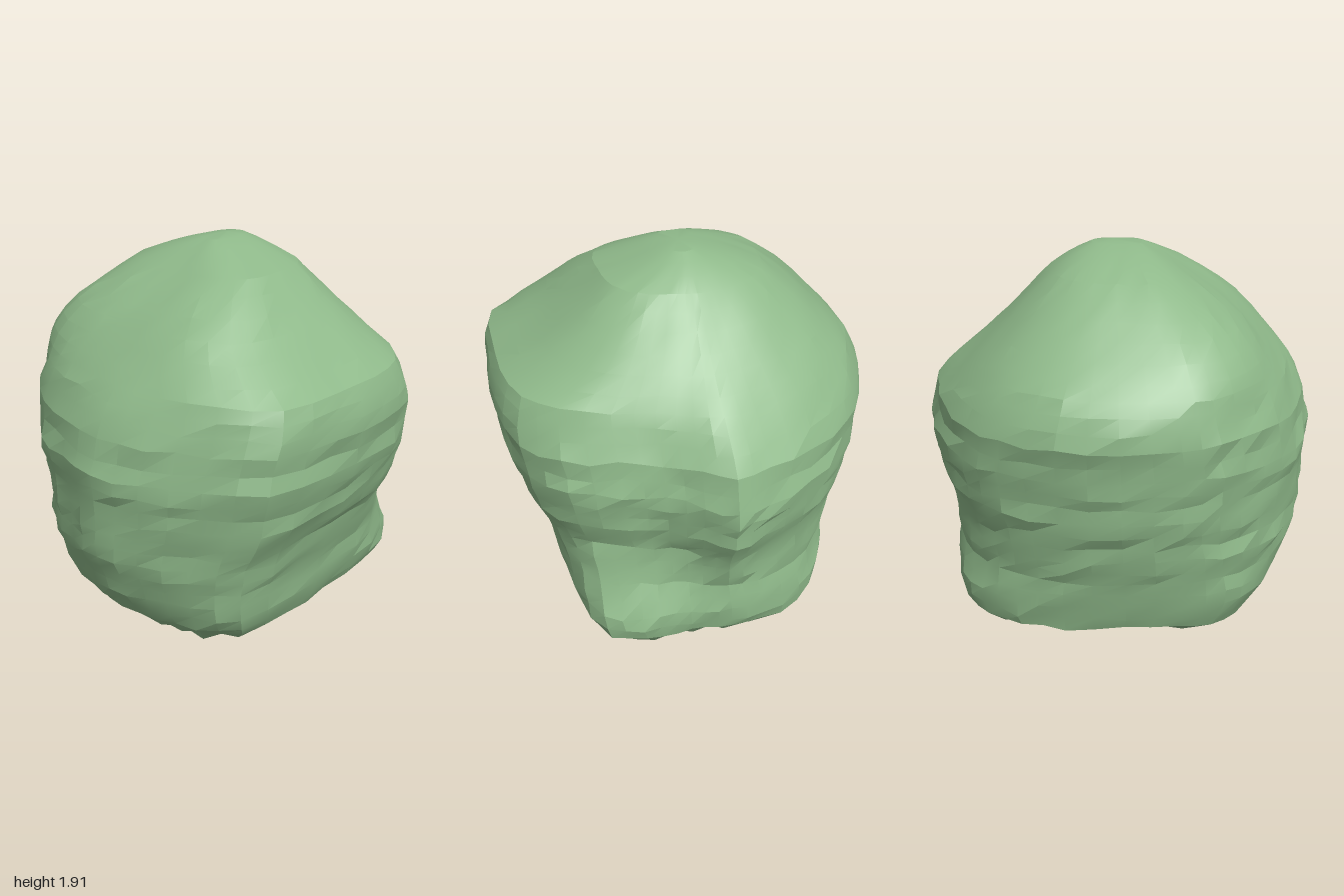
import * as THREE from 'three';
import { toCreasedNormals } from 'three/addons/utils/BufferGeometryUtils.js';

// Plan outlines as [x, z], starting at +x and turning towards the front
const BASE = [[.84, -.05], [.82, .08], [.81, .22], [.8, .38], [.74, .55], [.47, .63], [.1, .65], [-.2, .65],
  [-.5, .62], [-.64, .47], [-.7, .28], [-.74, .1], [-.74, -.1], [-.72, -.28], [-.65, -.47], [-.53, -.6],
  [-.35, -.66], [-.1, -.69], [.2, -.7], [.43, -.67], [.62, -.58], [.76, -.45], [.83, -.22]];
const WAIST = [[1, 0], [.9, .13], [.79, .28], [.72, .47], [.61, .7], [.42, .86], [.1, .93], [-.25, .93],
  [-.61, .89], [-.79, .66], [-.93, .4], [-1, .15], [-.97, -.1], [-.9, -.38], [-.74, -.62], [-.55, -.8],
  [-.38, -.88], [-.1, -.94], [.2, -.92], [.48, -.82], [.68, -.66], [.85, -.42], [.95, -.17]];

// Extents by height: y, left, right, back, front
const PROFILE = [
  [.04, .64, .74, .6, .57], [.12, .74, .82, .69, .65], [.2, .82, .86, .72, .7], [.4, .92, .86, .76, .73],
  [.6, .98, .9, .82, .78], [.8, .98, .97, .87, .87], [1, 1, 1, .9, .92], [1.2, .95, .94, .94, .94],
  [1.32, .89, .84, .91, .94], [1.4, .82, .75, .86, .9], [1.5, .72, .63, .77, .73], [1.6, .62, .53, .66, .6],
  [1.7, .5, .43, .55, .49], [1.8, .33, .33, .41, .38], [1.87, .22, .23, .25, .2], [1.915, .12, .13, .09, .08]];

const SIDES = 46;
const lerp = THREE.MathUtils.lerp, smooth = THREE.MathUtils.smoothstep;

// Small seeded random in -1..1
function seeded(seed) {
  return () => {
    seed = (seed * 16807) % 2147483647;
    return seed / 1073741823.5 - 1;
  };
}

function loop(points) {
  const curve = new THREE.CatmullRomCurve3(points.map(([x, z]) => new THREE.Vector3(x, 0, z)), true);
  return Array.from({ length: SIDES }, (_, i) => curve.getPoint(i / SIDES));
}

// Straight-line reading of the extents at height y
function extentsAt(y) {
  let k = 0;
  while (k < PROFILE.length - 2 && PROFILE[k + 1][0] < y) k++;
  const a = PROFILE[k], b = PROFILE[k + 1];
  const t = (y - a[0]) / (b[0] - a[0]);
  return a.map((v, i) => lerp(v, b[i], t));
}

function ring(y, base, waist) {
  const [, left, right, back, front] = extentsAt(y);
  const t = smooth(y, 0.1, 0.75), dome = smooth(y, 1.25, 1.6) * 0.8;
  const pts = base.map((b, i) => {
    const p = b.clone().lerp(waist[i], t);
    // The dome is round on the right and squarer on the left
    const a = Math.atan2(p.z, p.x);
    const r = 1 + (p.x < 0 ? .2 : .04) * Math.sin(2 * a) ** 2;
    return p.lerp(new THREE.Vector3(Math.cos(a) * r, 0, Math.sin(a) * r), dome);
  });
  const maxX = Math.max(...pts.map(p => p.x)), minX = Math.min(...pts.map(p => p.x));
  const maxZ = Math.max(...pts.map(p => p.z)), minZ = Math.min(...pts.map(p => p.z));
  return pts.map(p => new THREE.Vector3(
    p.x > 0 ? p.x * right / maxX : p.x * left / -minX, y,
    p.z > 0 ? p.z * front / maxZ : p.z * back / -minZ));
}

function boulderGeometry() {
  const rnd = seeded(4711);
  const base = loop(BASE), waist = loop(WAIST);
  const rings = [];

  // Underside, arched from left to right
  const underside = x => .085 - .055 * smooth(Math.abs(x), .1, .6);
  const foot = ring(0.04, base, waist);
  for (const s of [.25, .5, .75, 1]) {
    rings.push(foot.map(p => new THREE.Vector3(
      p.x * s + rnd() * .015 * s, underside(p.x * s) + rnd() * .02 * s, p.z * s + rnd() * .015 * s)));
  }
  // Layered walls, then the dome
  const heights = [.12, .19, .27, .35, .43, .5, .57, .65, .72, .8, .88, .95, 1.02, 1.1, 1.19,
    1.27, 1.34, 1.4, 1.46, 1.53, 1.6, 1.67, 1.74, 1.8, 1.85, 1.885, 1.915];
  heights.forEach((y, j) => {
    const wall = 1 - smooth(y, 1.15, 1.4), fade = 1 - smooth(y, 1.75, 1.9);
    const layer = wall * (j % 3 === 1 ? -.008 : .002);
    rings.push(ring(y, base, waist).map(p => {
      const a = Math.atan2(p.z, p.x);
      // Hollow in the middle of the right wall
      const dent = .03 * Math.exp(-((a / .25) ** 2) - (((y - .55) / .2) ** 2));
      const s = 1 + layer - dent + rnd() * (.005 * fade + .005 * wall);
      const dy = wall * Math.sin(a * 3 + 1) * .012 + rnd() * (.006 * fade + .006 * wall);
      return new THREE.Vector3(THREE.MathUtils.clamp(p.x * s, -1, 1), y + dy, p.z * s);
    }));
  });

  // Skin the rings and close both ends
  const pos = [], index = [];
  rings.forEach(r => r.forEach(p => pos.push(p.x, p.y, p.z)));
  const bottom = pos.length / 3, top = bottom + 1, last = (rings.length - 1) * SIDES;
  pos.push(0, .08, 0, .02, 1.928, 0);
  for (let i = 0; i < SIDES; i++) {
    const n = (i + 1) % SIDES;
    index.push(bottom, i, n, top, last + n, last + i);
    for (let j = 0; j < rings.length - 1; j++) {
      const a = j * SIDES + i, b = j * SIDES + n;
      index.push(a, a + SIDES, b, b, a + SIDES, b + SIDES);
    }
  }
  const g = new THREE.BufferGeometry();
  g.setAttribute('position', new THREE.Float32BufferAttribute(pos, 3));
  g.setIndex(index);
  return toCreasedNormals(g, 0.25);
}

export function createModel() {
  const group = new THREE.Group();
  group.name = 'boulder';
  const stone = new THREE.Mesh(boulderGeometry(), new THREE.MeshStandardMaterial({ color: 0x8fb98a }));
  stone.name = 'stone';
  group.add(stone);
  return group;
}
